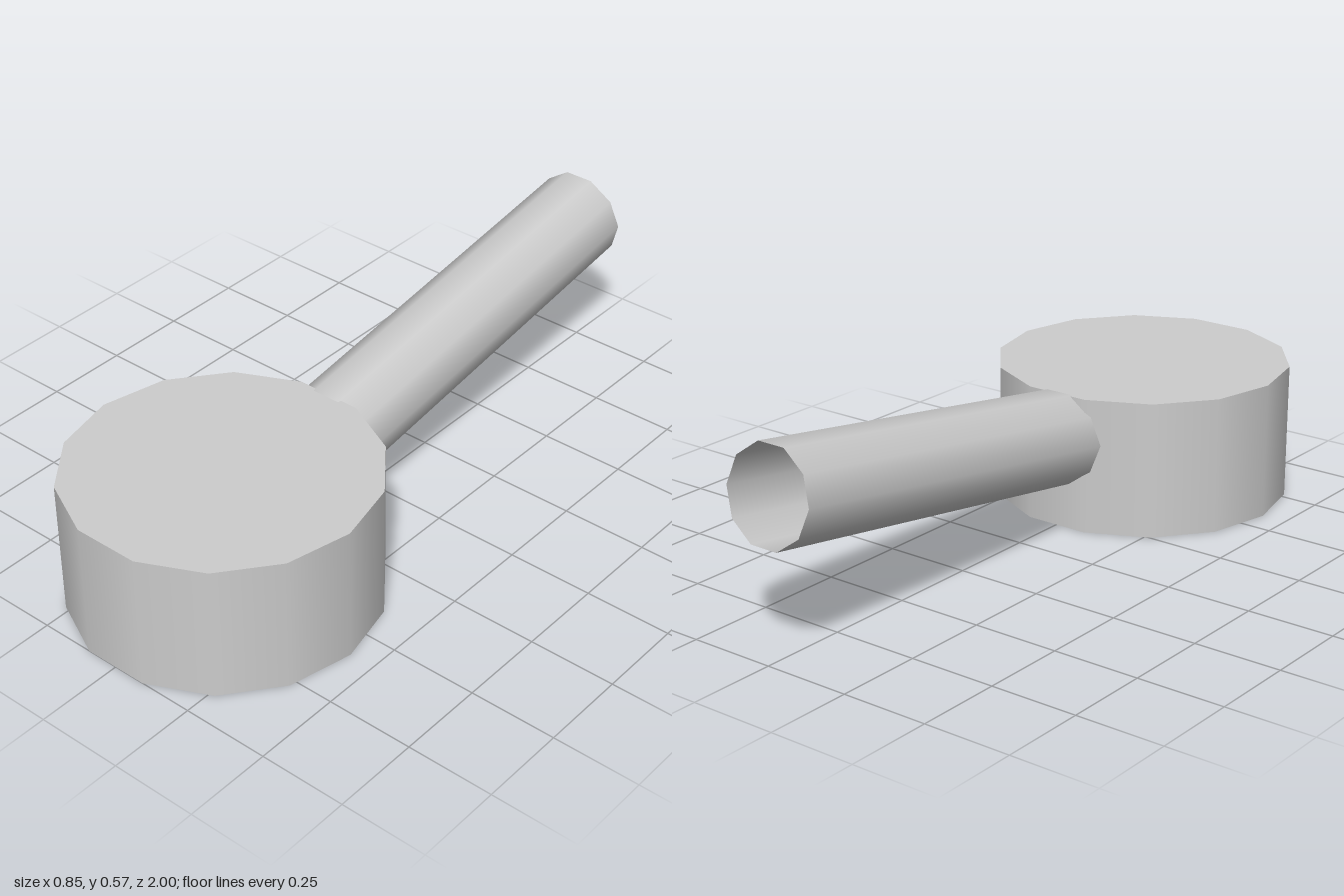
import * as THREE from 'three';

export function createModel() {
  const model = new THREE.Group();
  const grey = new THREE.MeshStandardMaterial({ color: 0xcccccc, side: THREE.DoubleSide });
  grey.name = 'grey';

  // Smooth-sided prism with a corner on each side (+x and -x)
  function addCylinder(name, radius, length, sides, open) {
    const geometry = new THREE.CylinderGeometry(radius, radius, length, sides, 1, open, Math.PI / 2);
    const mesh = new THREE.Mesh(geometry, grey);
    mesh.name = name;
    model.add(mesh);
    return mesh;
  }

  // Closed drum standing on the ground
  addCylinder('drum', 0.426, 0.393, 14, false).position.set(0, 0.1965, 0.585);

  // Open tube rising backwards out of the drum wall
  const tilt = Math.atan(0.152);
  const length = 1.25;
  const tube = addCylinder('handleTube', 0.136, length, 10, true);
  tube.rotation.x = tilt - Math.PI / 2;
  tube.position.set(0, 0.4385 - Math.sin(tilt) * length / 2, -0.98 + Math.cos(tilt) * length / 2);

  return model;
}
